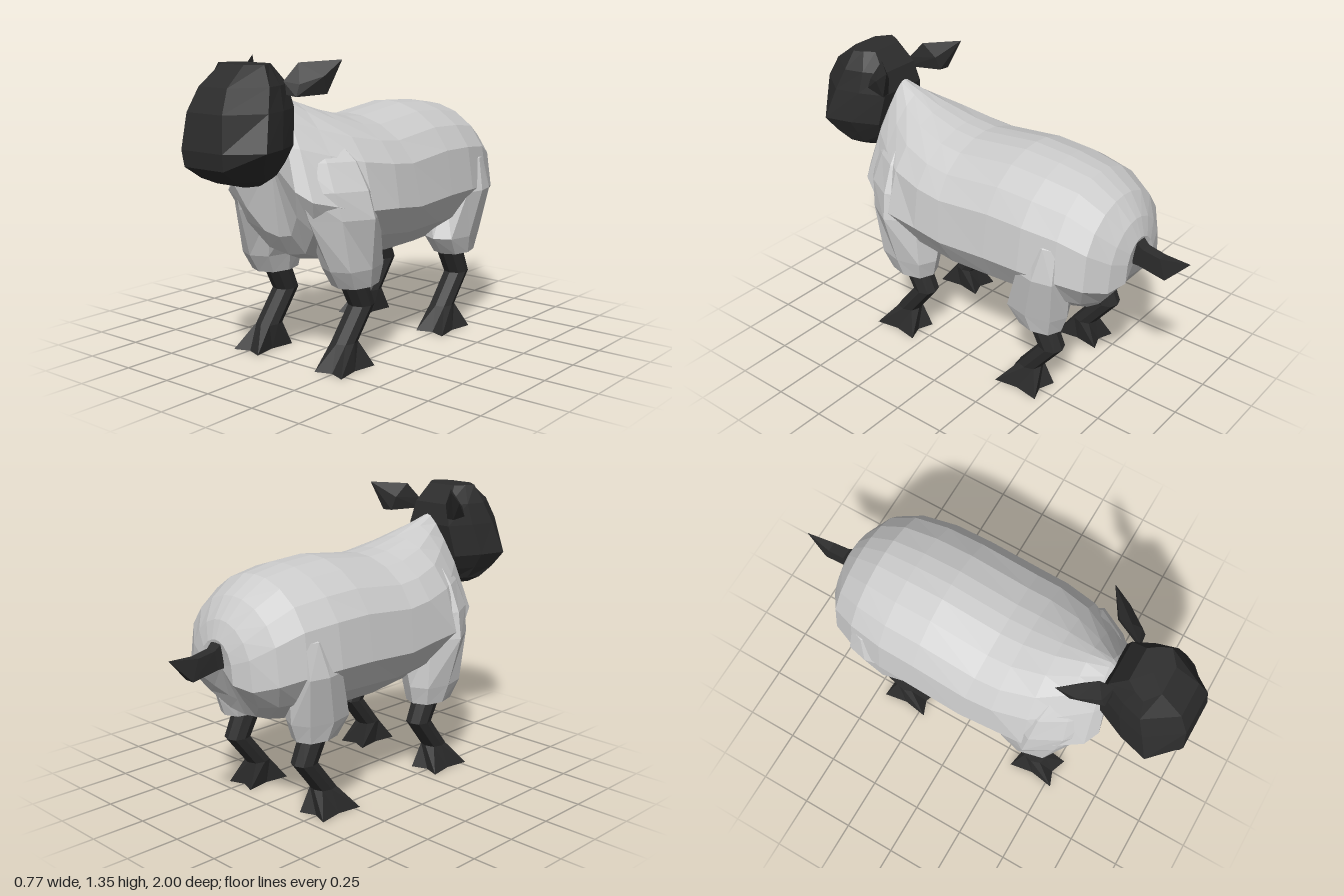
import * as THREE from 'three';
import { ConvexGeometry } from 'three/addons/geometries/ConvexGeometry.js';

const wool = new THREE.MeshStandardMaterial({ color: 0xcccccc, flatShading: true });
const dark = new THREE.MeshStandardMaterial({ color: 0x2c2c2c, flatShading: true });

// Skins a list of rings (arrays of [x, y, z]) and closes both ends with fans.
function loft(rings) {
  const n = rings[0].length;
  const pos = rings.flat();
  let tris = [];
  for (let r = 0; r < rings.length - 1; r++) {
    for (let i = 0; i < n; i++) {
      const a = r * n + i, b = r * n + (i + 1) % n;
      tris.push([a, b, b + n], [a, b + n, a + n]);
    }
  }
  for (const [r, flip] of [[0, true], [rings.length - 1, false]]) {
    const c = pos.length;
    pos.push([0, 1, 2].map(k => rings[r].reduce((s, p) => s + p[k], 0) / n));
    for (let i = 0; i < n; i++) {
      const a = r * n + i, b = r * n + (i + 1) % n;
      tris.push(flip ? [b, a, c] : [a, b, c]);
    }
  }
  // Turn all faces outward by the sign of the enclosed volume
  const v = pos.map(p => new THREE.Vector3(...p));
  const volume = tris.reduce((s, [a, b, c]) => s + v[a].dot(v[b].clone().cross(v[c])), 0);
  if (volume < 0) tris = tris.map(([a, b, c]) => [a, c, b]);
  const geo = new THREE.BufferGeometry();
  geo.setAttribute('position', new THREE.Float32BufferAttribute(pos.flat(), 3));
  geo.setIndex(tris.flat());
  geo.computeVertexNormals();
  return geo;
}

// Body cross-section, right half from spine to belly: [width, height] fractions
const SECTION = [[0, 1], [0.2, 0.99], [0.47, 0.94], [0.73, 0.84], [0.92, 0.69],
  [1, 0.39], [0.8, 0.19], [0.43, 0.03], [0, 0]];

// Body ring: z at top, middle and bottom, top and bottom y, half width, peak (narrows the top)
function bodyRing([zTop, zMid, zBot, yTop, yBot, w, peak = 0]) {
  const half = SECTION.map(([fx, fy]) => {
    const up = Math.max(0, (fy - 0.4) / 0.6), down = Math.max(0, (0.4 - fy) / 0.4);
    const z = zMid + (zTop - zMid) * up + (zBot - zMid) * down;
    return [fx * w * (1 - peak * up), yBot + (yTop - yBot) * fy, z];
  });
  return [...half, ...half.slice(1, -1).reverse().map(([x, y, z]) => [-x, y, z])];
}

// Eight-sided ring from bounds; c trims the corners, m pulls the middles inward
function boxRing(y, x0, x1, z0, z1, c = 0.25, m = 0) {
  const cx = (x0 + x1) / 2, cz = (z0 + z1) / 2, hx = (x1 - x0) / 2, hz = (z1 - z0) / 2;
  const k = 1 - c, e = 1 - m;
  return [[-k, -k], [0, -e], [k, -k], [e, 0], [k, k], [0, e], [-k, k], [-e, 0]]
    .map(([u, v]) => [cx + u * hx, y, cz + v * hz]);
}

// Head ring: [y, front z, widest z, back z, half width, front half width]
function headRing([y, zf, zw, zb, w, f]) {
  const half = [[f, y, zf], [w, y, zw], [w * 0.85, y, (zw + zb) / 2], [w * 0.6, y, zb]];
  return [...half, ...half.slice().reverse().map(([x, yy, z]) => [-x, yy, z])];
}

export function createModel() {
  const model = new THREE.Group();
  const add = (name, geo, mat) => {
    const mesh = new THREE.Mesh(geo, mat);
    mesh.name = name;
    model.add(mesh);
  };
  const mirror = (rings, s) => rings.map(r => r.map(([x, y, z]) => [x * s, y, z]));

  // Woolly body, chest to rump
  add('body', loft([
    [0.6, 0.655, 0.56, 1.17, 0.58, 0.18, 0.6],
    [0.575, 0.62, 0.5, 1.2, 0.49, 0.245, 0.6],
    [0.48, 0.5, 0.43, 1.165, 0.46, 0.315, 0.4],
    [0.35, 0.37, 0.35, 1.12, 0.45, 0.37, 0.16],
    [0.2, 0.2, 0.2, 1.085, 0.45, 0.378],
    [0.09, 0.05, 0.02, 1.075, 0.43, 0.385],
    [-0.2, -0.2, -0.2, 1.11, 0.43, 0.38],
    [-0.38, -0.38, -0.38, 1.1, 0.44, 0.375],
    [-0.54, -0.55, -0.52, 1.075, 0.44, 0.345],
    [-0.66, -0.67, -0.58, 1.0, 0.45, 0.295],
    [-0.73, -0.735, -0.61, 0.91, 0.46, 0.2],
    [-0.76, -0.765, -0.65, 0.83, 0.54, 0.11],
  ].map(bodyRing)), wool);

  // Wool over the upper legs: [y, inner x, outer x, back z, front z, corner trim]
  const frontWool = [[0.365, 0.15, 0.325, 0.22, 0.445], [0.45, 0.13, 0.345, 0.2, 0.5],
    [0.68, 0.02, 0.387, 0.17, 0.595, 0.4], [0.8, 0.02, 0.36, 0.16, 0.63, 0.42],
    [0.92, 0.02, 0.3, 0.2, 0.61, 0.45], [1.03, 0.02, 0.19, 0.3, 0.56, 0.45]];
  const backWool = [[0.375, 0.16, 0.325, -0.53, -0.32], [0.46, 0.14, 0.345, -0.56, -0.25],
    [0.68, 0.1, 0.378, -0.57, -0.35, 0.15], [0.83, 0.1, 0.34, -0.555, -0.42, 0.15],
    [0.9, 0.1, 0.26, -0.53, -0.44]];
  // Lower legs with a bent joint and a notched hoof
  const leg = [[0.42, 0.165, 0.285, 0.29, 0.42], [0.26, 0.172, 0.282, 0.22, 0.335],
    [0.115, 0.17, 0.28, 0.335, 0.45], [0, 0.17, 0.32, 0.3, 0.53, 0, 0.25]];

  for (const [side, s] of [['left', 1], ['right', -1]]) {
    add(side + 'FrontLegWool', loft(mirror(frontWool.map(r => boxRing(...r)), s)), wool);
    add(side + 'BackLegWool', loft(mirror(backWool.map(r => boxRing(...r)), s)), wool);
    for (const [name, dz] of [['FrontLeg', 0], ['BackLeg', -0.75]]) {
      const rings = leg.map(r => boxRing(...r).map(([x, y, z]) => [x, y, z + dz]));
      add(side + name, loft(mirror(rings, s)), dark);
    }
    // Ear: narrow root, broad middle, pointed tip
    add(side + 'Ear', new ConvexGeometry([
      [0.11, 1.21, 0.65], [0.18, 1.2, 0.64], [0.11, 1.26, 0.64], [0.18, 1.25, 0.62],
      [0.14, 1.335, 0.58], [0.18, 1.205, 0.51], [0.225, 1.205, 0.5], [0.235, 1.28, 0.53],
      [0.16, 1.27, 0.52], [0.257, 1.345, 0.44],
    ].map(([x, y, z]) => new THREE.Vector3(x * s, y, z))), dark);
  }

  // Head, chin to crown
  add('head', loft([
    [0.845, 0.84, 0.78, 0.71, 0.1, 0.08],
    [0.875, 0.91, 0.8, 0.67, 0.155, 0.1],
    [0.93, 0.99, 0.85, 0.64, 0.195, 0.11],
    [1.0, 1.0, 0.88, 0.62, 0.24, 0.115],
    [1.15, 0.98, 0.83, 0.59, 0.205, 0.1],
    [1.25, 0.93, 0.79, 0.61, 0.175, 0.08],
    [1.335, 0.82, 0.77, 0.68, 0.13, 0.065],
  ].map(headRing)), dark);

  // Tail: [top y, top z, bottom y, bottom z, half width]
  add('tail', loft([
    [0.84, -0.73, 0.71, -0.72, 0.035], [0.79, -0.785, 0.705, -0.77, 0.027],
    [0.775, -0.87, 0.68, -0.9, 0.024], [0.787, -1, 0.785, -1, 0.001],
  ].map(([yt, zt, yb, zb, w]) => [[w, yt, zt], [-w, yt, zt], [-w, yb, zb], [w, yb, zb]])), dark);

  return model;
}
